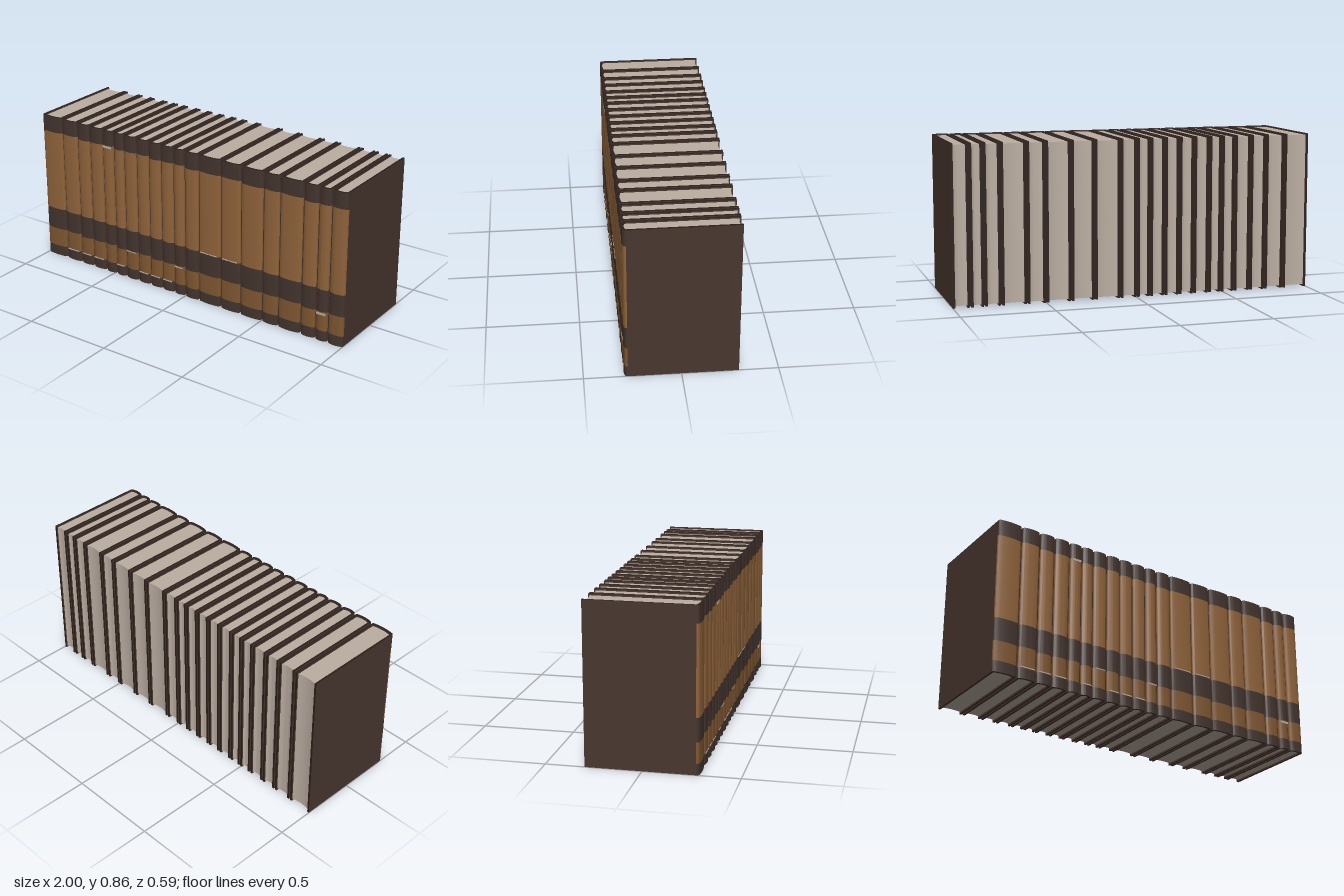
import * as THREE from 'three';
import { toCreasedNormals } from 'three/addons/utils/BufferGeometryUtils.js';

const mat = (name, color, side = THREE.FrontSide) => {
  const m = new THREE.MeshStandardMaterial({ color, side });
  m.name = name;
  return m;
};

const H = 0.862, BACK = -0.295, HINGE = 0.274, BOARD = 0.012, GAP = 0.008;

export function createModel() {
  const leather = mat('dark brown leather', 0x48362e);
  const edge = mat('dark leather edge', 0x2c201b);
  const bandDark = mat('spine band brown', 0x43342e);
  const tan = mat('tan leather', 0x8f633a);
  const tanLow = mat('deep tan leather', 0x7f5731);
  const paper = mat('paper', 0xbbaea2);

  // Extrudes a plan outline (x, -z) upward from y0 to y1
  const extrudeUp = (shape, y0, y1) => {
    const g = new THREE.ExtrudeGeometry(shape, { depth: y1 - y0, bevelEnabled: false, curveSegments: 8 });
    g.rotateX(-Math.PI / 2);
    g.translate(0, y0, 0);
    return toCreasedNormals(g, 0.7);
  };

  // Rounded spine strip seen in plan
  const spineShape = (hw) => {
    const r = Math.min(0.012, hw * 0.4), t = 0.01;
    const s = new THREE.Shape();
    s.moveTo(-hw, -HINGE);
    s.quadraticCurveTo(-hw, -0.287, -hw + r, -0.289);
    s.quadraticCurveTo(0, -0.299, hw - r, -0.289);
    s.quadraticCurveTo(hw, -0.287, hw, -HINGE);
    s.lineTo(hw - BOARD, -HINGE);
    s.quadraticCurveTo(0, -0.299 + t, -hw + BOARD, -HINGE);
    return s;
  };

  // Page block with a hollow fore edge at the back
  const pageShape = (hw) => {
    const s = new THREE.Shape();
    s.moveTo(-hw, 0.288);
    s.lineTo(-hw, -HINGE);
    s.quadraticCurveTo(0, -0.289, hw, -HINGE);
    s.lineTo(hw, 0.288);
    s.quadraticCurveTo(0, 0.272, -hw, 0.288);
    return s;
  };

  // Books with pale wear along a band joint: [book, joint height, strip height]
  const wear = [[4, 0.766, 0.012], [12, 0.3, 0.005], [13, 0.3, 0.005], [18, 0.158, 0.012], [6, 0.168, 0.005], [10, 0.165, 0.006]];
  for (const i of [1, 2, 3, 5, 7, 8, 9]) wear.push([i, 0.062, 0.006]);

  const makeBook = (width, index) => {
    const book = new THREE.Group();
    book.name = 'book' + (index + 1);
    const hw = width / 2;
    const add = (name, geo, m) => {
      const mesh = new THREE.Mesh(geo, m);
      mesh.name = name;
      book.add(mesh);
      return mesh;
    };

    // Cover boards
    for (const side of [-1, 1]) {
      const g = new THREE.BoxGeometry(BOARD, H, HINGE - BACK);
      g.translate(side * (hw - BOARD / 2), H / 2, (HINGE + BACK) / 2);
      add(side > 0 ? 'leftBoard' : 'rightBoard', g, [leather, leather, edge, leather, leather, edge]);
    }

    // Page block
    add('pages', extrudeUp(pageShape(hw - BOARD), 0.01, H - 0.008), paper);

    // Spine in coloured bands, with a slight drift from book to book
    const d = 0.004 * Math.sin(index * 2.1);
    const joints = [0, 0.06, 0.17 + d, 0.297, 0.77 + d, H];
    const colours = [bandDark, tanLow, bandDark, tan, bandDark];
    const shape = spineShape(hw);
    colours.forEach((m, i) => {
      add('spineBand', extrudeUp(shape, joints[i], joints[i + 1]), i === 4 ? [edge, m] : m);
    });

    // Worn pale strips
    for (const [b, y, h] of wear) {
      if (b !== index) continue;
      const g = new THREE.BoxGeometry(width * 0.8, h, 0.003);
      g.translate(0, y, 0.2935);
      add('wornStrip', g, paper);
    }
    return book;
  };

  // Joints between neighbouring books along the row
  const xs = [-1, -0.86, -0.75, -0.66, -0.567, -0.49, -0.417, -0.33, -0.246, -0.163, -0.08,
    -0.005, 0.088, 0.232, 0.361, 0.5, 0.602, 0.741, 0.832, 0.907, 1];
  const model = new THREE.Group();
  model.name = 'bookRow';
  for (let i = 0; i < xs.length - 1; i++) {
    const x0 = xs[i] + (i > 0 ? GAP / 2 : 0);
    const x1 = xs[i + 1] - (i < xs.length - 2 ? GAP / 2 : 0);
    const book = makeBook(x1 - x0, i);
    book.position.x = (x0 + x1) / 2;
    model.add(book);
  }
  return model;
}
